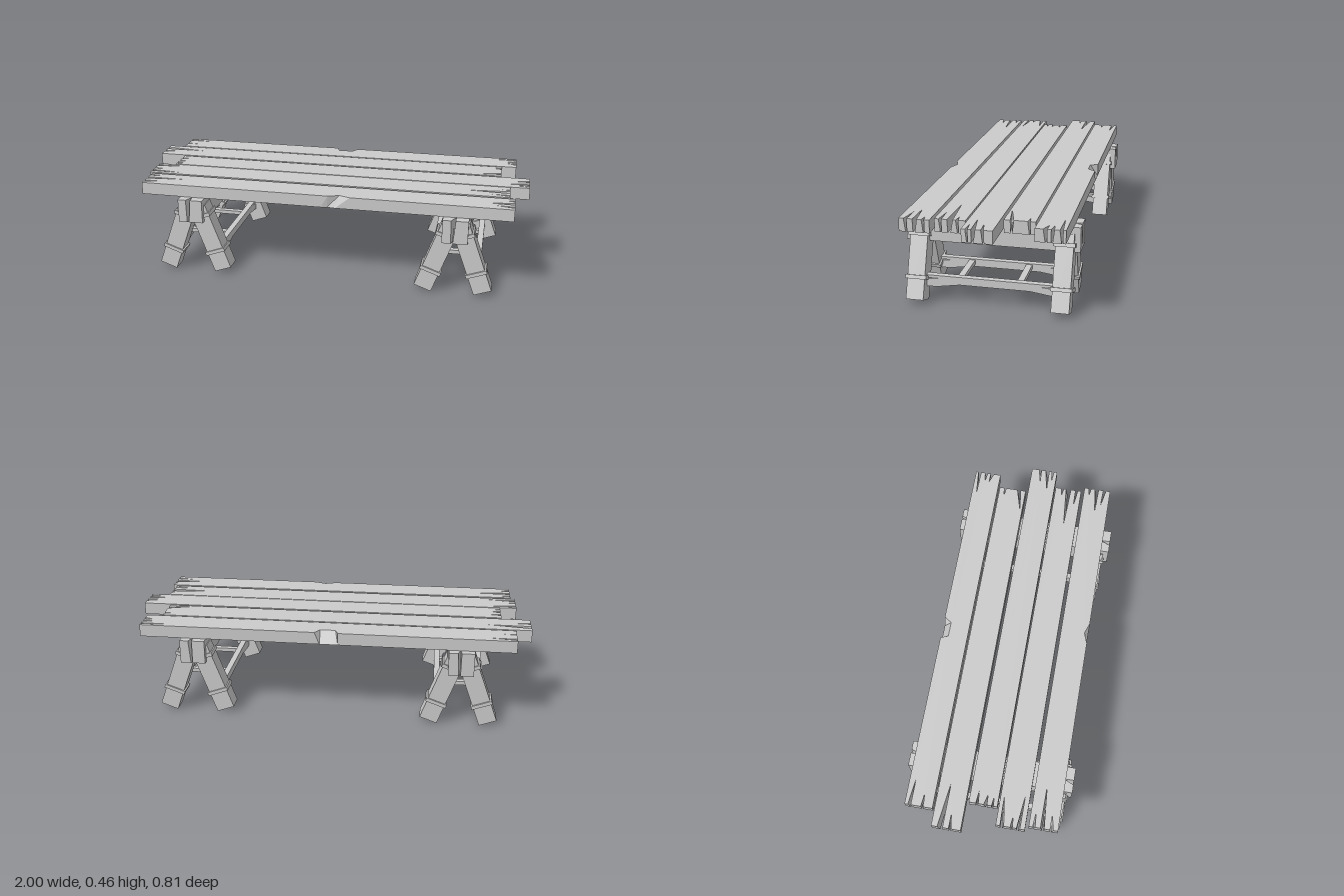
import * as THREE from 'three';

const material = new THREE.MeshStandardMaterial({ color: 0xcccccc, flatShading: true });

function addMesh(parent, name, geometry) {
  const mesh = new THREE.Mesh(geometry, material);
  mesh.name = name;
  parent.add(mesh);
  return mesh;
}

// Timber lying along x. Splits are [z, half width, depth, tip z]; a chip is a list of
// [x, inset above, x below, inset below]. The underside follows its own outline.
function splitTimber({ x0, x1, z0, z1, top, height, left = [], right = [], backChip = [], frontChip = [] }) {
  const upper = [], lower = [];
  const put = (x, z, bx = x, bz = z) => {
    upper.push(new THREE.Vector2(x, z));
    lower.push(new THREE.Vector2(bx, bz));
  };
  const putSplits = (splits, x, inward, step) => {
    const sorted = [...splits].sort((a, b) => (a[0] - b[0]) * step);
    sorted.forEach(([z, w, depth, tip = z], i) => {
      const lean = (i % 2 ? 1 : -1) * 0.004;
      put(x, z - step * w, x, z + lean - step * w * 0.45);
      put(x + inward * depth, tip, x + inward * depth * 0.6, z + lean + (tip - z) * 0.6);
      put(x, z + step * w, x, z + lean + step * w * 0.45);
    });
  };
  put(x0, z0);
  backChip.forEach(([x, d, bx, bd]) => put(x, z0 + d, bx, z0 + bd));
  put(x1, z0);
  putSplits(right, x1, -1, 1);
  put(x1, z1);
  frontChip.forEach(([x, d, bx, bd]) => put(x, z1 - d, bx, z1 - bd));
  put(x0, z1);
  putSplits(left, x0, 1, -1);

  const geometry = new THREE.ExtrudeGeometry(new THREE.Shape(upper), { depth: height, bevelEnabled: false });
  const pos = geometry.attributes.position;
  for (let i = 0; i < pos.count; i++) {
    if (pos.getZ(i) < height / 2) continue;
    const k = upper.findIndex(p => Math.hypot(p.x - pos.getX(i), p.y - pos.getY(i)) < 1e-5);
    if (k >= 0) pos.setXY(i, lower[k].x, lower[k].y);
  }
  geometry.rotateX(Math.PI / 2).translate(0, top, 0);
  geometry.computeVertexNormals();
  return geometry;
}

const planks = [
  { x0: -0.92, x1: 0.93, z0: -0.375, z1: -0.24,
    left: [[-0.352, 0.007, 0.13, -0.345], [-0.29, 0.006, 0.06]],
    right: [[-0.355, 0.007, 0.13, -0.35], [-0.318, 0.007, 0.05], [-0.285, 0.009, 0.05, -0.295]],
    backChip: [[-0.06, 0, -0.06, 0], [-0.045, 0.038, -0.03, 0], [0.03, 0.038, 0.03, 0], [0.055, 0, 0.055, 0]] },
  { x0: -1, x1: 0.855, z0: -0.23, z1: -0.088,
    left: [[-0.188, 0.013, 0.215, -0.175], [-0.14, 0.006, 0.07, -0.145]],
    right: [[-0.2, 0.006, 0.04], [-0.125, 0.008, 0.125, -0.098]] },
  { x0: -0.86, x1: 1, z0: -0.075, z1: 0.063,
    left: [[-0.035, 0.006, 0.06], [0.005, 0.008, 0.05, 0.01], [0.04, 0.005, 0.04]],
    right: [[-0.03, 0.006, 0.07, -0.02], [0.01, 0.009, 0.12, 0.022], [0.04, 0.005, 0.06]] },
  { x0: -0.945, x1: 0.905, z0: 0.07, z1: 0.21,
    left: [[0.1, 0.009, 0.14, 0.088], [0.145, 0.006, 0.05], [0.178, 0.008, 0.16, 0.187]],
    right: [[0.108, 0.006, 0.04], [0.14, 0.013, 0.21, 0.145], [0.185, 0.006, 0.09, 0.18]] },
  { x0: -0.925, x1: 0.93, z0: 0.225, z1: 0.365,
    left: [[0.25, 0.006, 0.07], [0.29, 0.009, 0.2, 0.282], [0.335, 0.008, 0.07, 0.328]],
    right: [[0.255, 0.006, 0.04], [0.292, 0.01, 0.13, 0.298], [0.335, 0.007, 0.09, 0.325]],
    frontChip: [[0.145, 0, 0.07, 0], [0.09, 0.02, 0.03, 0.006], [0.035, 0, 0, 0]] },
];

// Hewn rail along z with deeper, cracked ends
function railGeometry() {
  const points = [
    [-0.31, 0.08], [-0.295, 0.08], [-0.19, 0.095], [0.14, 0.095], [0.25, 0.077], [0.31, 0.077],
    [0.31, 0.111], [0.24, 0.12], [0.31, 0.119], [0.31, 0.133],
    [-0.31, 0.133], [-0.31, 0.122], [-0.235, 0.12], [-0.31, 0.114],
  ].map(p => new THREE.Vector2(...p));
  return new THREE.ExtrudeGeometry(new THREE.Shape(points), { depth: 0.03, bevelEnabled: false })
    .translate(0, 0, -0.015).rotateY(-Math.PI / 2);
}

// Leaning leg with two straps; side is its x direction from the beam
function createLeg(side, z) {
  const leg = new THREE.Group();
  leg.name = 'leg';
  addMesh(leg, 'legPost', new THREE.BoxGeometry(0.09, 0.356, 0.083).translate(0, 0.178, 0));
  for (const y of [0.105, 0.305]) {
    addMesh(leg, 'legStrap', new THREE.BoxGeometry(0.106, 0.018, 0.099).translate(0, y, 0));
  }
  leg.position.set(side * 0.147, 0.0154, z);
  leg.rotation.z = side * THREE.MathUtils.degToRad(20);
  return leg;
}

function createTrestle() {
  const trestle = new THREE.Group();
  trestle.name = 'trestle';
  const beam = splitTimber({
    x0: -0.407, x1: 0.407, z0: -0.062, z1: 0.062, top: 0.395, height: 0.118,
    left: [[-0.01, 0.011, 0.05, 0]], right: [[0.01, 0.009, 0.04, 0.005]],
  });
  addMesh(trestle, 'trestleBeam', beam.rotateY(Math.PI / 2));
  for (const side of [-1, 1]) {
    for (const z of [-0.338, 0.338]) trestle.add(createLeg(side, z));
    addMesh(trestle, 'sideRail', railGeometry()).position.x = side * 0.112;
  }
  // Rungs joining the two rails
  for (const z of [-0.14, 0.14]) {
    addMesh(trestle, 'crossRung', new THREE.BoxGeometry(0.21, 0.02, 0.03)).position.set(0, 0.118, z);
  }
  return trestle;
}

export function createModel() {
  const model = new THREE.Group();
  model.name = 'trestleTable';
  for (const plank of planks) {
    addMesh(model, 'topPlank', splitTimber({ ...plank, top: 0.457, height: 0.061 }));
  }
  for (const side of [-1, 1]) {
    const trestle = createTrestle();
    trestle.position.x = side * 0.66;
    model.add(trestle);
  }
  return model;
}
